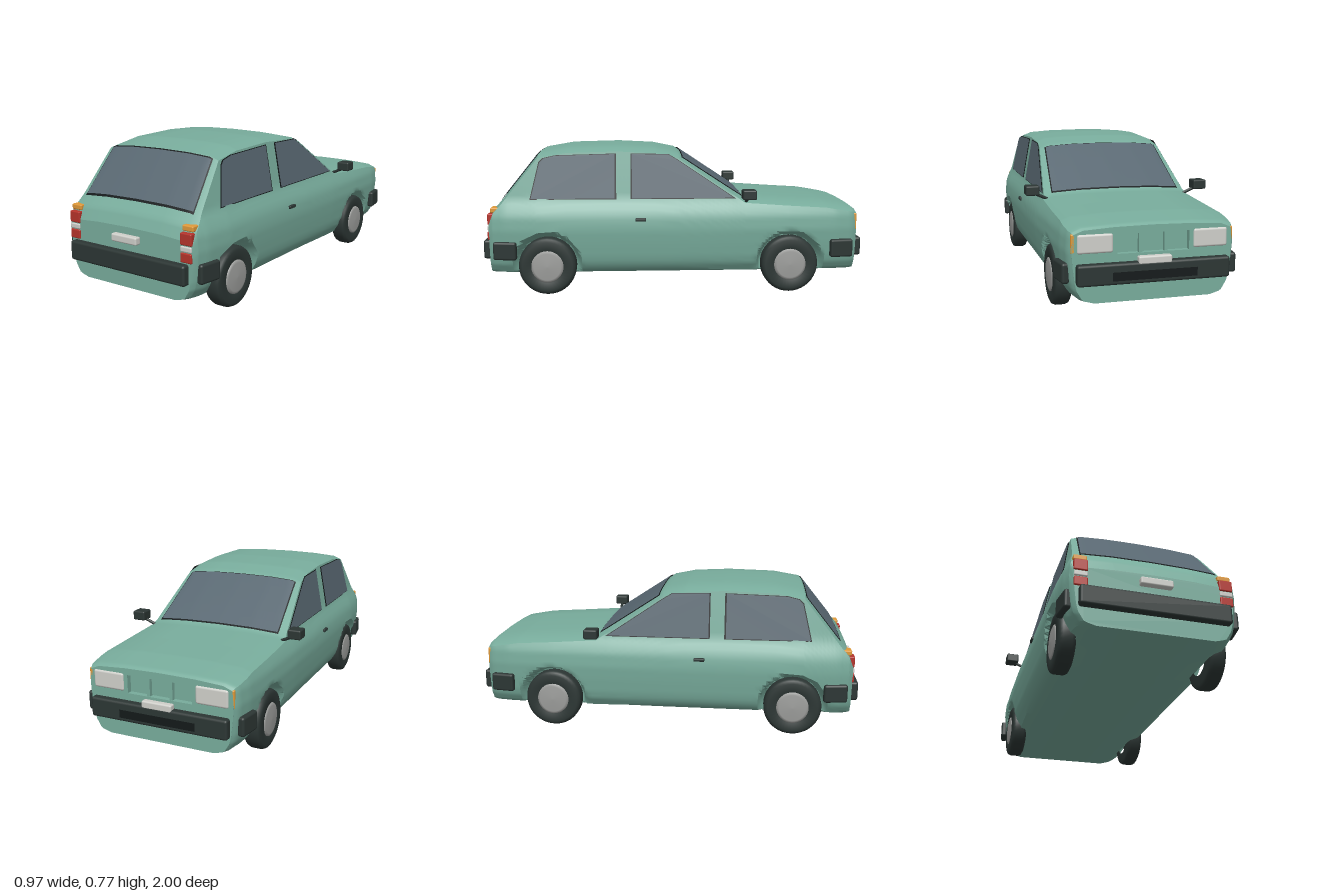
import * as THREE from 'three';
import { toCreasedNormals } from 'three/addons/utils/BufferGeometryUtils.js';
import { RoundedBoxGeometry } from 'three/addons/geometries/RoundedBoxGeometry.js';

const mat = (name, color) => Object.assign(new THREE.MeshStandardMaterial({ color }), { name });

// piecewise linear lookup in [[key, value], ...]
function lookup(table, k) {
  if (k <= table[0][0]) return table[0][1];
  for (let i = 1; i < table.length; i++) {
    const [a, va] = table[i - 1], [b, vb] = table[i];
    if (k <= b) return va + (vb - va) * (k - a) / (b - a);
  }
  return table[table.length - 1][1];
}

// body rules: roof line along z, half width by height, plan taper along z
const ROOF = [[-0.965, 0.445], [-0.95, 0.455], [-0.8, 0.48], [-0.6, 0.492], [-0.37, 0.508], [-0.02, 0.74], [0.1, 0.765],
  [0.3, 0.775], [0.56, 0.768], [0.71, 0.742], [0.9, 0.505], [0.94, 0.46], [0.965, 0.4]];
const WIDTH = [[0.1, 0.31], [0.115, 0.37], [0.16, 0.4], [0.2, 0.411], [0.27, 0.42], [0.34, 0.426], [0.41, 0.42],
  [0.45, 0.405], [0.5, 0.38], [0.74, 0.336], [0.78, 0.33]];
const PLAN = [[-0.965, 0.89], [-0.94, 0.93], [-0.85, 0.965], [-0.6, 0.985], [-0.3, 1], [0.72, 1], [0.88, 0.975], [0.945, 0.94], [0.965, 0.9]];
const WHEEL_Z = [0.665, -0.61];
const EDGE = 0.03; // drop from the centre line to the shoulder

const roofY = z => lookup(ROOF, z);
const sideX = (y, z) => lookup(WIDTH, y) * lookup(PLAN, z);
function topY(x, z) {
  const top = roofY(z), w = sideX(top - EDGE, z);
  return lookup([[0, top], [w * 0.5, top - 0.003], [w - 0.045, top - 0.012], [w, top - EDGE]], Math.abs(x));
}

// closed cross-section of the body at z, with hollows around the wheels
function section(z) {
  const half = [[0, 0.1], [0.15, 0.1]];
  const shoulder = roofY(z) - EDGE, rows = 26;
  for (let i = 0; i <= rows; i++) {
    const y = 0.1 + (shoulder - 0.1) * (i / rows) ** 1.25;
    const r = Math.min(...WHEEL_Z.map(c => Math.hypot(z - c, y - 0.15)));
    const x = sideX(y, z);
    half.push([THREE.MathUtils.lerp(Math.min(x, 0.33), x, THREE.MathUtils.smoothstep(r, 0.148, 0.185)), y]);
  }
  const w = sideX(shoulder, z);
  for (const x of [w - 0.045, w * 0.5, 0]) half.push([x, topY(x, z)]);
  return [...half, ...half.slice(1, -1).reverse().map(([x, y]) => [-x, y])];
}

function bodyShell() {
  const zs = ROOF.map(p => p[0]);
  for (let z = -0.955; z < 0.965; z += 0.02) zs.push(z);
  zs.sort((a, b) => a - b);
  const pos = [], idx = [];
  let n = 0;
  zs.forEach((z, i) => {
    const ring = section(z);
    n = ring.length;
    ring.forEach(([x, y]) => pos.push(x, y, z));
    if (i) for (let j = 0; j < n; j++) {
      const a = (i - 1) * n + j, b = (i - 1) * n + (j + 1) % n;
      idx.push(a, b, b + n, a, b + n, a + n);
    }
  });
  const g = new THREE.BufferGeometry();
  g.setAttribute('position', new THREE.Float32BufferAttribute(pos, 3));
  g.setIndex(idx);
  return toCreasedNormals(g, 0.6);
}

const outline = z => new THREE.Shape(section(z).map(([x, y]) => new THREE.Vector2(x, y)));

// glass laid over the sloping top surface between two z lines
function topGlass(z0, w0, z1, w1, grow, lift) {
  const g = new THREE.PlaneGeometry(1, 1, 32, 6), p = g.attributes.position;
  const dir = Math.sign(z1 - z0);
  for (let i = 0; i < p.count; i++) {
    const t = p.getY(i) + 0.5;
    const z = THREE.MathUtils.lerp(z0 - dir * grow, z1 + dir * grow, t);
    const x = p.getX(i) * 2 * (THREE.MathUtils.lerp(w0, w1, t) + grow);
    p.setXYZ(i, x, topY(x, z) + lift, z);
  }
  g.computeVertexNormals();
  return g;
}

// glass laid over the cabin side; corners are [z, y]
function sideGlass(corners, side, scale, lift) {
  const c = corners.reduce((s, p) => [s[0] + p[0] / corners.length, s[1] + p[1] / corners.length], [0, 0]);
  const g = new THREE.ShapeGeometry(new THREE.Shape(corners.map(([z, y]) =>
    new THREE.Vector2(c[0] + (z - c[0]) * scale, c[1] + (y - c[1]) * scale))));
  const p = g.attributes.position;
  for (let i = 0; i < p.count; i++) {
    const z = p.getX(i), y = p.getY(i);
    p.setXYZ(i, side * (sideX(y, z) + lift), y, z);
  }
  g.computeVertexNormals();
  return g;
}

export function createModel() {
  const car = new THREE.Group();
  car.name = 'hatchback';
  const paint = mat('green paint', 0x78ac9c), glass = mat('window glass', 0x586771), trim = mat('dark trim', 0x2c3634),
    seal = mat('window seal', 0x14191a), red = mat('red lamp', 0xb5332b), amber = mat('amber lamp', 0xe09a3a),
    white = mat('white lamp', 0xcfcfca), hubGrey = mat('hub grey', 0x9c9d9b);
  glass.side = seal.side = THREE.DoubleSide;

  const add = (name, geo, material, x = 0, y = 0, z = 0) => {
    const m = new THREE.Mesh(geo, material);
    m.name = name;
    m.position.set(x, y, z);
    car.add(m);
    return m;
  };
  const block = (name, material, w, h, d, x, y, z, r = 0.006) =>
    add(name, new RoundedBoxGeometry(w, h, d, 2, r), material, x, y, z);

  // body shell, tail panel, and nose panel with the grille opening
  add('body', bodyShell(), paint);
  add('tailPanel', new THREE.ShapeGeometry(outline(0.965)), paint, 0, 0, 0.965);
  const nose = outline(-0.965);
  nose.holes.push(new THREE.Path([[-0.17, 0.32], [-0.17, 0.41], [0.17, 0.41], [0.17, 0.32]].map(p => new THREE.Vector2(...p))));
  add('nosePanel', new THREE.ExtrudeGeometry(nose, { depth: 0.03, bevelEnabled: false }), paint, 0, 0, -0.966);
  add('grilleBack', new THREE.BoxGeometry(0.36, 0.11, 0.01), paint, 0, 0.365, -0.934);
  for (const x of [-0.06, 0.06]) add('grilleBar', new THREE.BoxGeometry(0.016, 0.1, 0.02), paint, x, 0.365, -0.952);

  // windscreen and rear window, each on a dark seal
  for (const [name, ...a] of [['windscreen', -0.352, 0.338, -0.045, 0.312], ['rearWindow', 0.893, 0.335, 0.722, 0.31]]) {
    add(name + 'Seal', topGlass(...a, 0.006, 0.005), seal);
    add(name, topGlass(...a, 0, 0.008), glass);
  }

  // bumpers and number plates
  for (const s of [1, -1]) {
    block('bumper', trim, 0.72, 0.098, 0.05, 0, 0.235, s * 0.975, 0.012);
    block('numberPlate', white, 0.158, 0.038, 0.035, 0, s > 0 ? 0.348 : 0.29, s * 0.982, 0.008);
  }
  add('bumperInset', new THREE.BoxGeometry(0.4, 0.04, 0.006), seal, 0, 0.225, -0.998);

  const rearPane = [[0.745, 0.505], [0.7, 0.69], [0.68, 0.71], [0.62, 0.724], [0.312, 0.732], [0.312, 0.505]];
  const frontPane = [[0.222, 0.732], [0.03, 0.728], [-0.02, 0.698], [-0.31, 0.505], [0.222, 0.505]];

  // wheel profiles, turned about the axle
  const tyre = new THREE.LatheGeometry([[0.08, -0.043], [0.13, -0.043], [0.144, -0.036], [0.15, -0.022], [0.15, 0.022],
    [0.144, 0.036], [0.13, 0.043], [0.086, 0.043], [0.08, 0.03]].map(p => new THREE.Vector2(...p)), 40);
  const hub = new THREE.LatheGeometry([[0.085, 0.03], [0.083, 0.043], [0.07, 0.048], [0.0001, 0.051]].map(p => new THREE.Vector2(...p)), 32);

  for (const s of [1, -1]) {
    // side windows
    for (const [name, pane] of [['rearSideWindow', rearPane], ['doorWindow', frontPane]]) {
      add(name + 'Seal', sideGlass(pane, s, 1.035, 0.003), seal);
      add(name, sideGlass(pane, s, 1, 0.006), glass);
    }
    // wheels
    for (const z of WHEEL_Z) {
      add('tyre', tyre, trim, s * 0.367, 0.15, z).rotation.z = -s * Math.PI / 2;
      add('hubcap', hub, hubGrey, s * 0.367, 0.15, z).rotation.z = -s * Math.PI / 2;
    }
    // bumper corners wrapping the sides
    for (const e of [1, -1])
      block('bumperCorner', trim, 0.036, 0.095, 0.122, s * 0.407, 0.237, e * 0.88, 0.012).rotation.y = -s * e * 0.14;
    // stacked tail lamps
    block('turnLamp', amber, 0.064, 0.027, 0.05, s * 0.35, 0.446, 0.93);
    block('brakeLamp', red, 0.066, 0.057, 0.045, s * 0.35, 0.399, 0.949);
    block('reverseLamp', white, 0.064, 0.026, 0.045, s * 0.35, 0.353, 0.95);
    block('tailLamp', red, 0.064, 0.046, 0.045, s * 0.35, 0.313, 0.95);
    // headlamps and corner markers
    block('headlamp', white, 0.165, 0.088, 0.024, s * 0.272, 0.372, -0.961, 0.011);
    block('cornerMarker', amber, 0.022, 0.088, 0.026, s * 0.371, 0.374, -0.953);
    // mirrors and door handles
    block('mirror', trim, 0.07, 0.05, 0.072, s * 0.45, 0.53, -0.38, 0.008);
    const stalk = new THREE.LineCurve3(new THREE.Vector3(s * 0.37, 0.482, -0.375), new THREE.Vector3(s * 0.435, 0.512, -0.38));
    add('mirrorStalk', new THREE.TubeGeometry(stalk, 1, 0.008, 8), trim);
    block('doorHandle', trim, 0.018, 0.017, 0.056, s * 0.423, 0.398, 0.177, 0.005);
  }
  return car;
}
